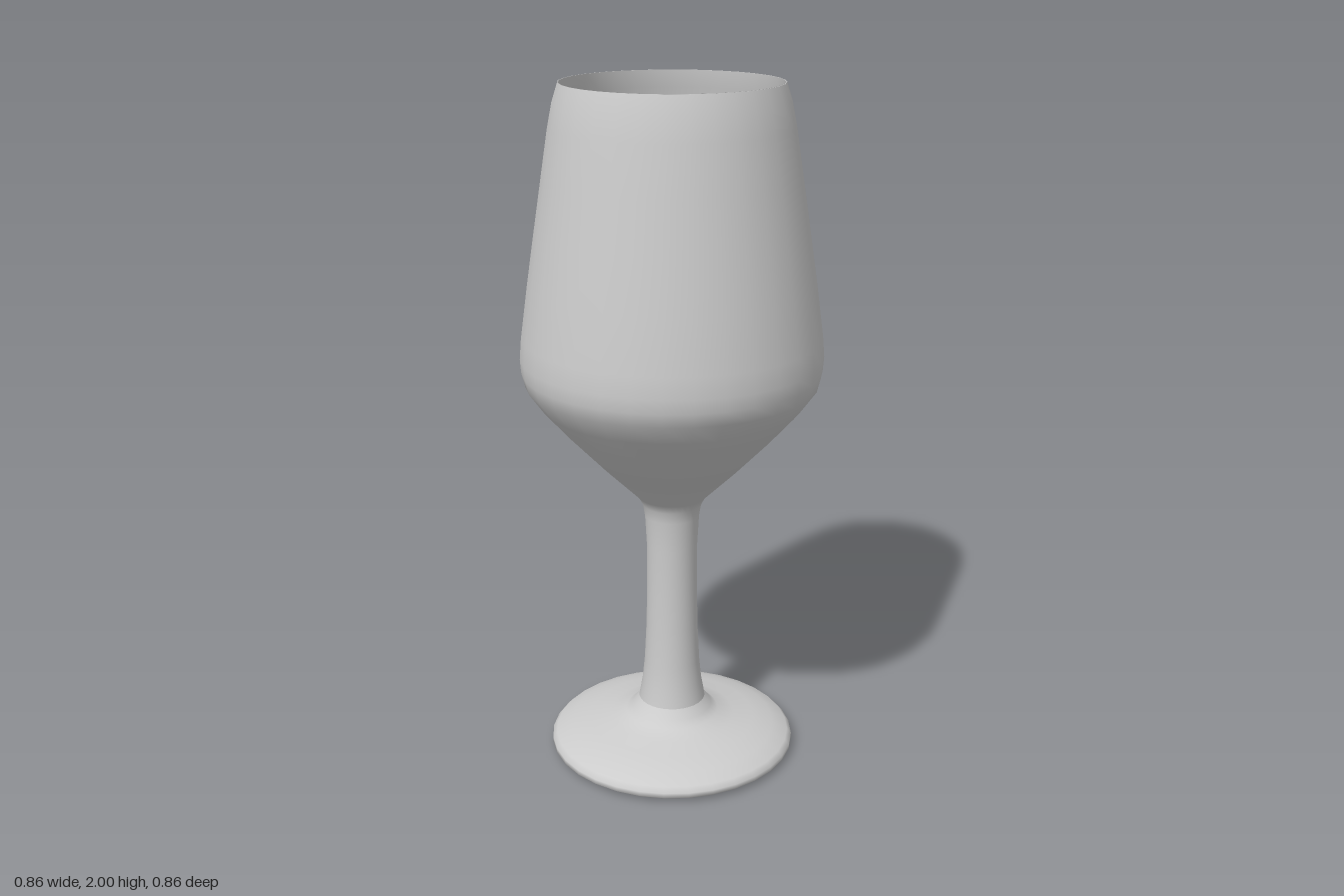
import * as THREE from 'three';

const SEGMENTS = 32;

// Turned part from [radius, height] pairs, listed bottom-up for outward faces
function turned(name, profile, material) {
  const points = profile.map(([r, y]) => new THREE.Vector2(r, y));
  const mesh = new THREE.Mesh(new THREE.LatheGeometry(points, SEGMENTS, 0.06), material);
  mesh.name = name;
  return mesh;
}

export function createModel() {
  const group = new THREE.Group();
  group.name = 'wineGlass';
  const glass = new THREE.MeshStandardMaterial({ color: 0xcccccc });
  const red = new THREE.MeshStandardMaterial({ color: 0x5c2a28 });

  // Foot: flat underside and rounded, gently domed top
  group.add(turned('footUnderside', [[0, 0], [0.3, 0], [0.355, 0.008]], glass));
  const foot = [
    [0.355, 0.008], [0.368, 0.018], [0.368, 0.032], [0.355, 0.046], [0.31, 0.066],
    [0.25, 0.083], [0.19, 0.094], [0.14, 0.11], [0.12, 0.128], [0.1, 0.155],
  ];
  group.add(turned('foot', foot, glass));

  // Stem, slightly waisted
  const stem = [
    [0.1, 0.155], [0.09, 0.21], [0.083, 0.28], [0.077, 0.4], [0.075, 0.53],
    [0.075, 0.66], [0.08, 0.75], [0.086, 0.785], [0.1, 0.812],
  ];

  // Bowl from the stem to the rim
  const bowl = [
    [0.1, 0.812], [0.2, 0.91], [0.3, 1.015], [0.375, 1.1], [0.418, 1.16], [0.428, 1.2],
    [0.431, 1.24], [0.426, 1.3], [0.405, 1.45], [0.382, 1.6], [0.36, 1.74],
    [0.338, 1.88], [0.324, 1.95], [0.308, 2],
  ];
  group.add(turned('stemAndBowl', [...stem, ...bowl.slice(1)], glass));

  // Inner wall, a thin offset of the bowl running down from the rim
  const inner = bowl.slice(1).map(([r, y]) => [r - 0.012, y]);
  inner[inner.length - 1] = [0.304, 2];
  group.add(turned('bowlInside', [[0.308, 2], ...inner.slice().reverse(), [0.09, 0.83], [0, 0.82]], glass));

  // Wine fills the lower bowl up to its widest part
  const level = 1.3;
  const body = inner.filter(([, y]) => y <= level).map(([r, y]) => [r - 0.004, y]);
  group.add(turned('wine', [[0, 0.83], [0.085, 0.835], ...body], red));
  group.add(turned('wineSurface', [[body[body.length - 1][0], level], [0, level]], red));

  return group;
}
